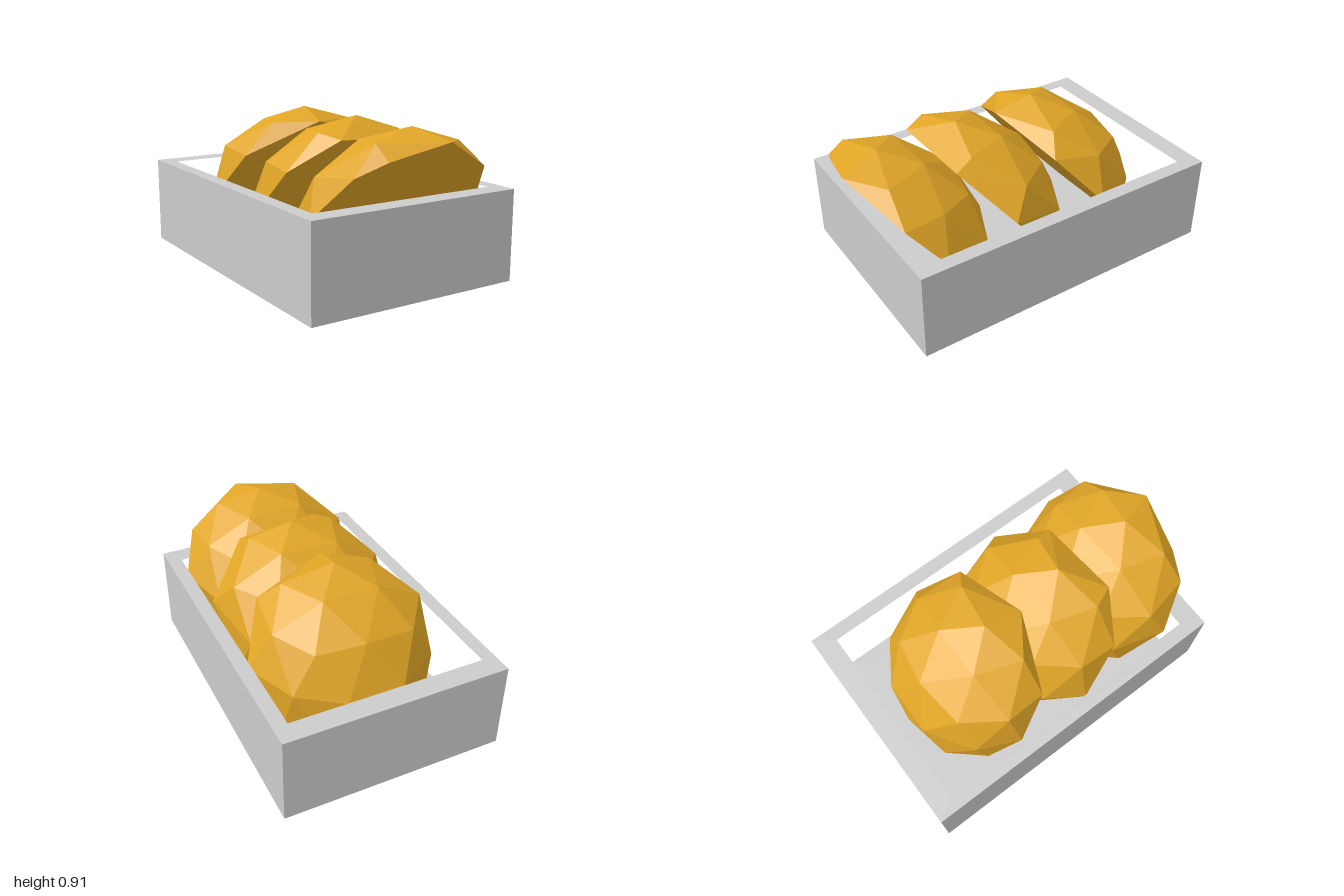
import * as THREE from 'three';
import { ConvexGeometry } from 'three/addons/geometries/ConvexGeometry.js';

const TILT = -0.868; // lean of the cut faces

// Small seeded generator for the uneven facets, -1..1
function seeded(seed) {
  let s = seed;
  return () => {
    s = (s * 16807) % 2147483647;
    return (s / 2147483647) * 2 - 1;
  };
}

// Upper halves of a coarse subdivided sphere, unit radius
function domePoints() {
  const pos = new THREE.IcosahedronGeometry(1, 1).getAttribute('position');
  const found = new Map();
  for (let i = 0; i < pos.count; i++) {
    const v = new THREE.Vector3().fromBufferAttribute(pos, i);
    if (v.y > 0.05) found.set(v.toArray().map((n) => Math.round(n * 100)).join(), v);
  }
  return [...found.values()];
}

// Faceted half dome: flat cut face on local y = 0, bulging to +y
function domeGeometry(rim, seed) {
  const rnd = seeded(seed);
  const points = domePoints().map((v) => new THREE.Vector3(
    v.x * 0.54 + rnd() * 0.018,
    v.y * 0.39 + rnd() * 0.012,
    v.z * 0.545 + rnd() * 0.012
  ));
  rim.forEach(([x, z]) => points.push(new THREE.Vector3(x, 0, z)));
  return new ConvexGeometry(points);
}

function rectangle(PathType, x0, x1, z0, z1) {
  const p = new PathType();
  p.moveTo(x0, -z0);
  p.lineTo(x1, -z0);
  p.lineTo(x1, -z1);
  p.lineTo(x0, -z1);
  p.closePath();
  return p;
}

export function createModel() {
  const model = new THREE.Group();
  const grey = new THREE.MeshStandardMaterial({ color: 0xcccccc, flatShading: true });
  const gold = new THREE.MeshStandardMaterial({ color: 0xe0a526, flatShading: true });

  // Open tray: four walls and a floor
  const tray = new THREE.Group();
  tray.name = 'tray';
  const outline = rectangle(THREE.Shape, -0.645, 0.645, -1, 0.88);
  outline.holes.push(rectangle(THREE.Path, -0.563, 0.563, -0.88, 0.76));
  const wallGeometry = new THREE.ExtrudeGeometry(outline, { depth: 0.52, bevelEnabled: false });
  wallGeometry.rotateX(-Math.PI / 2);
  const walls = new THREE.Mesh(wallGeometry, grey);
  walls.name = 'trayWalls';
  walls.position.y = 0.01;
  const floor = new THREE.Mesh(new THREE.BoxGeometry(1.126, 0.08, 1.64), grey);
  floor.name = 'trayFloor';
  floor.position.set(0, 0.05, -0.06);
  tray.add(walls, floor);
  model.add(tray);

  // Three leaning half domes; each rim is listed around its cut face
  const domes = [
    { name: 'frontDome', z: 0.64, seed: 77, rim: [
      [0.56, 0.05], [0.45, 0.325], [0.09, 0.556], [-0.24, 0.45], [-0.4, 0.355],
      [-0.53, 0.06], [-0.45, -0.3], [-0.05, -0.54], [0.45, -0.3]] },
    { name: 'middleDome', z: 0.15, seed: 421, rim: [
      [0.54, 0.14], [0.28, 0.464], [-0.21, 0.51], [-0.46, 0.29],
      [-0.54, -0.09], [-0.3, -0.46], [0.2, -0.51], [0.48, -0.25]] },
    { name: 'rearDome', z: -0.36, seed: 1093, rim: [
      [0.56, 0.046], [0.4, 0.4], [-0.04, 0.556], [-0.44, 0.31],
      [-0.53, -0.015], [-0.45, -0.3], [-0.06, -0.557], [0.45, -0.3]] },
  ];
  domes.forEach(({ name, z, seed, rim }) => {
    const dome = new THREE.Mesh(domeGeometry(rim, seed), gold);
    dome.name = name;
    dome.position.set(0, 0.425, z);
    dome.rotation.x = TILT;
    model.add(dome);
  });

  return model;
}
